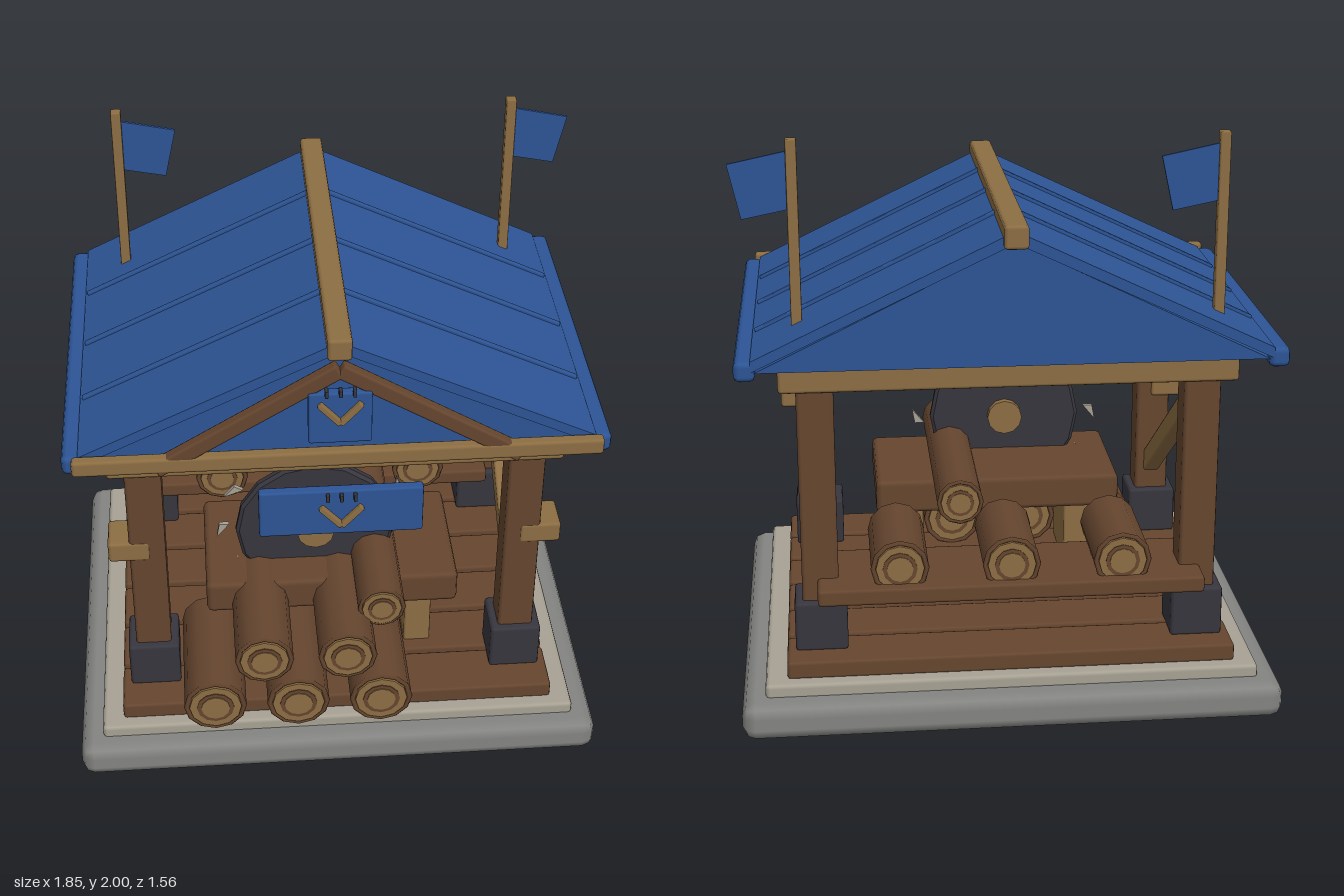
import * as THREE from 'three';
import { RoundedBoxGeometry } from 'three/addons/geometries/RoundedBoxGeometry.js';

const mat = (name, color, extra = {}) => {
  const m = new THREE.MeshStandardMaterial({ color, ...extra });
  m.name = name;
  return m;
};

export function createModel() {
  const model = new THREE.Group();
  model.name = 'sawmill';
  const blue = mat('blue paint', 0x2d5596);
  const timber = mat('light timber', 0x8d6e43);
  const bark = mat('brown wood', 0x66462f);
  const iron = mat('dark iron', 0x38363e);
  const stone = mat('grey stone', 0x848482);
  const paleStone = mat('pale stone', 0xa8a294);

  const add = (name, geo, material, x = 0, y = 0, z = 0, parent = model) => {
    const m = new THREE.Mesh(geo, material);
    m.name = name;
    m.position.set(x, y, z);
    parent.add(m);
    return m;
  };
  // Chamfered box given by its limits on each axis
  const box = (name, material, [x0, x1], [y0, y1], [z0, z1], r = 0.012, parent = model) =>
    add(name, new RoundedBoxGeometry(x1 - x0, y1 - y0, z1 - z0, 1, r), material,
      (x0 + x1) / 2, (y0 + y1) / 2, (z0 + z1) / 2, parent);
  // Beam between two points in the XY plane
  const beamXY = (name, material, a, b, h, d, z, r, parent = model) => {
    const len = Math.hypot(b[0] - a[0], b[1] - a[1]);
    const m = add(name, new RoundedBoxGeometry(len, h, d, 1, r), material,
      (a[0] + b[0]) / 2, (a[1] + b[1]) / 2, z, parent);
    m.rotation.z = Math.atan2(b[1] - a[1], b[0] - a[0]);
    return m;
  };
  // Polygon extruded along z from z0 to z1
  const prism = (name, material, pts, z0, z1, parent = model) =>
    add(name, new THREE.ExtrudeGeometry(new THREE.Shape(pts.map(p => new THREE.Vector2(...p))),
      { depth: z1 - z0, bevelEnabled: false }), material, 0, 0, z0, parent);

  // Stone base and plank floor
  box('base', stone, [-0.925, 0.925], [0, 0.13], [-0.78, 0.755], 0.045);
  box('baseStep', paleStone, [-0.845, 0.845], [0.12, 0.175], [-0.705, 0.685], 0.015);
  for (let i = 0; i < 6; i++) {
    const z = 0.54 - i * 0.22;
    box('floorPlank', bark, [-0.77, 0.77], [0.17, 0.235], [z - 0.1, z + 0.1]);
  }

  // Posts, footings, side pegs and diagonal braces
  for (const s of [-1, 1]) {
    for (const z of [0.44, -0.48]) {
      const x = s * 0.65;
      box('post', bark, [x - 0.0625, x + 0.0625], [0.23, 1.2], [z - 0.064, z + 0.064]);
      box('footing', iron, [x - 0.09, x + 0.09], [0.23, 0.41], [z - 0.09, z + 0.09]);
    }
    box('peg', timber, s > 0 ? [0.64, 0.785] : [-0.785, -0.64], [0.79, 0.87], [0.368, 0.507]);
    const brace = add('brace', new RoundedBoxGeometry(0.06, 0.075, 1.04, 1, 0.008), timber, s * 0.65, 0.8, -0.02);
    brace.rotation.x = 0.602;
  }
  for (const z of [0.44, -0.478]) box('topBeam', timber, [-0.77, 0.77], [1.16, 1.3], [z - 0.08, z + 0.08]);

  // Roof body, slopes, battens, eaves and ridge
  prism('roofBody', blue, [[-0.84, 1.28], [0.84, 1.28], [0, 1.69]], -0.69, 0.59);
  for (const s of [-1, 1]) {
    const pts = [[s * 0.85, 1.285], [s * 0.85, 1.322], [0, 1.73], [0, 1.69]];
    prism('roofSlope', blue, s > 0 ? pts : pts.reverse(), -0.7, 0.605);
    for (const z of [0.28, -0.05, -0.38]) {
      beamXY('roofBatten', blue, [s * 0.84, 1.327], [s * 0.03, 1.717], 0.02, 0.02, z, 0.004);
    }
    box('eave', blue, s > 0 ? [0.835, 0.905] : [-0.905, -0.835], [1.25, 1.32], [-0.7, 0.605], 0.02);
    beamXY('gableRafter', bark, [s * 0.6, 1.28], [0, 1.645], 0.055, 0.045, 0.627, 0.01);
  }
  box('ridgeBeam', timber, [-0.04, 0.04], [1.675, 1.755], [-0.73, 0.635]);
  box('gableBar', timber, [-0.87, 0.87], [1.275, 1.335], [0.61, 0.652]);

  // Blue signs with a chevron and three studs
  const sign = (name, w, y0, y1, z, vy, studY) => {
    const g = new THREE.Group();
    g.name = name;
    model.add(g);
    box('signPlate', blue, [-w, w], [y0, y1], [z - 0.036, z], 0.008, g);
    for (const s of [-1, 1]) {
      beamXY('chevronBar', timber, [s * 0.068, vy + 0.075], [0, vy], 0.02, 0.022, z + 0.009, 0.004, g);
    }
    for (const x of [-0.045, 0, 0.045]) box('stud', iron, [x - 0.006, x + 0.006], [studY, studY + 0.025], [z - 0.01, z + 0.02], 0.003, g);
  };
  sign('gableSign', 0.103, 1.375, 1.57, 0.657, 1.46, 1.565);
  sign('hangingSign', 0.27, 1.045, 1.225, 0.716, 1.09, 1.192);

  // Flags
  for (const x of [-0.7, 0.7]) {
    box('flagPole', timber, [x - 0.018, x + 0.018], [1.35, 2], [-0.522, -0.484], 0.005);
    prism('flag', blue, [[0.015, 1.77], [0.165, 1.74], [0.205, 1.92], [0.015, 1.96]], -0.508, -0.498)
      .position.x = x;
  }

  // Saw table
  box('sawTable', bark, [-0.455, 0.44], [0.5, 0.628], [-0.025, 0.465], 0.02);
  for (const x of [-0.312, 0.312]) box('tableLeg', timber, [x - 0.048, x + 0.048], [0.23, 0.51], [0.065, 0.37], 0.008);

  // Circular saw blade with hub and loose teeth
  const saw = new THREE.Group();
  saw.name = 'saw';
  saw.position.set(-0.06, 0.76, 0.313);
  model.add(saw);
  const profile = [[0, -0.02], [0.27, -0.02], [0.282, -0.01], [0.282, 0.01], [0.27, 0.02], [0, 0.02]];
  const bladeGeo = new THREE.LatheGeometry(profile.map(p => new THREE.Vector2(...p)), 16).rotateX(Math.PI / 2);
  const bladeFlat = bladeGeo.toNonIndexed();
  bladeFlat.computeVertexNormals();
  add('blade', bladeFlat, iron, 0, 0, 0, saw);
  add('hub', new THREE.CylinderGeometry(0.065, 0.065, 0.1, 12).rotateX(Math.PI / 2), timber, 0, 0, 0, saw);
  for (let i = 0; i < 12; i++) {
    const pivot = new THREE.Group();
    pivot.name = 'toothPivot';
    pivot.rotation.z = i * Math.PI / 6;
    saw.add(pivot);
    prism('tooth', paleStone, [[0.305, -0.025], [0.34, -0.025], [0.35, 0.03]], -0.008, 0.008, pivot);
  }

  // Logs with ringed ends
  const log = (x, y, r, z0, z1) => {
    const g = new THREE.Group();
    g.name = 'log';
    g.position.set(x, y, (z0 + z1) / 2);
    model.add(g);
    const len = z1 - z0;
    const cyl = (name, radius, l, m) =>
      add(name, new THREE.CylinderGeometry(radius, radius, l, 12).rotateX(Math.PI / 2), m, 0, 0, 0, g);
    cyl('bark', r, len - 0.03, bark);
    cyl('endWood', r * 0.84, len - 0.012, timber);
    cyl('endRing', r * 0.6, len - 0.006, bark);
    cyl('endMiddle', r * 0.46, len, timber);
    for (const s of [-1, 1]) {
      add('barkRim', new THREE.TorusGeometry(r * 0.93, r * 0.09, 4, 12), bark, 0, 0, s * (len / 2 - 0.014), g);
    }
  };
  for (const x of [-0.44, -0.15, 0.14]) log(x, 0.335, 0.108, 0.3, 0.777);
  for (const x of [-0.265, 0.022]) log(x, 0.54, 0.1, 0.3, 0.777);
  log(0.15, 0.638, 0.082, -0.28, 0.648);

  // Back rack and its logs
  box('backRack', bark, [-0.66, 0.66], [0.43, 0.49], [-0.65, -0.3]);
  for (const x of [-0.38, 0, 0.38]) log(x, 0.545, 0.098, -0.617, -0.25);

  return model;
}
